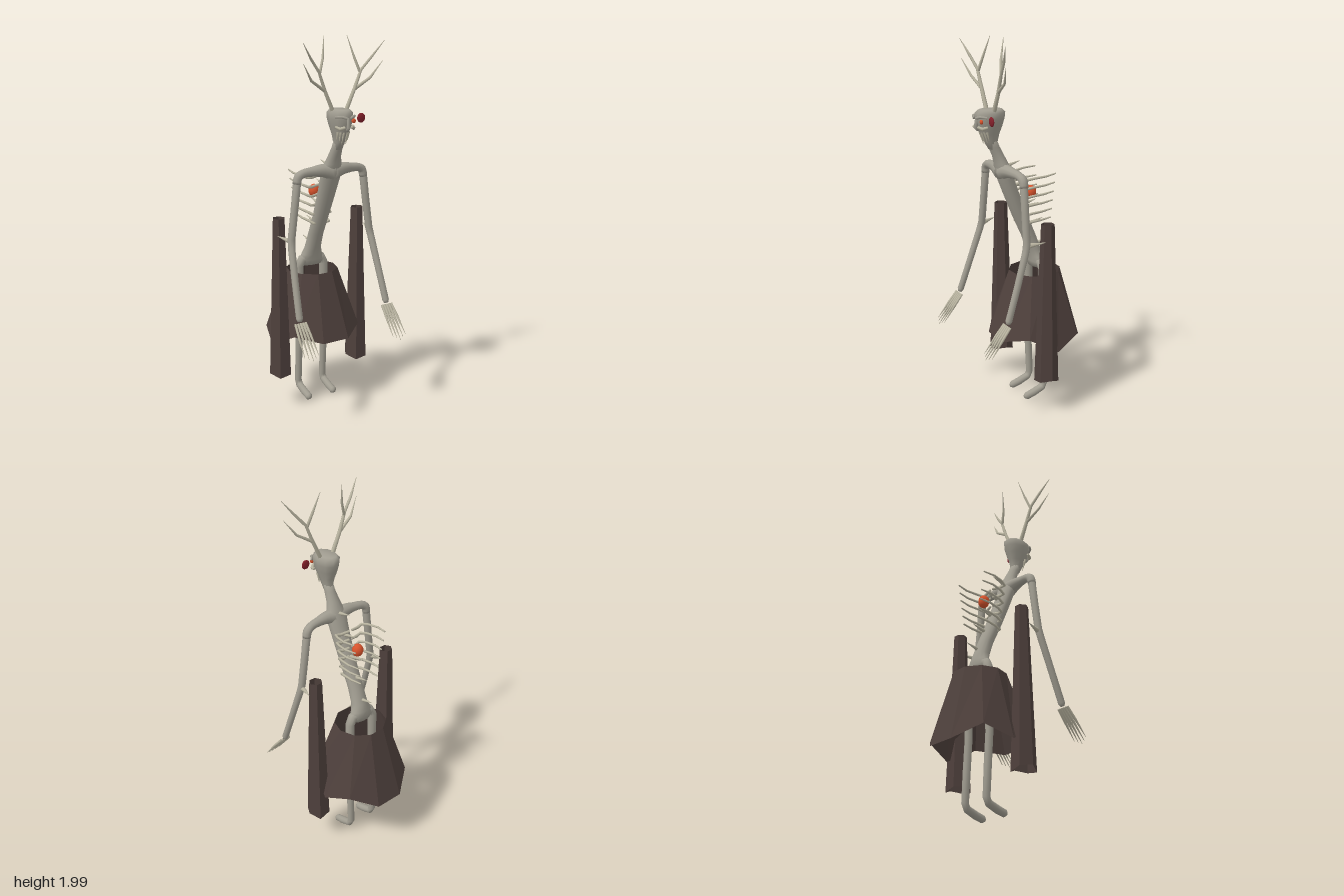
import * as THREE from 'three';

const V = (x, y, z) => new THREE.Vector3(x, y, z);
const mat = (name, color, side = THREE.FrontSide) => {
  const m = new THREE.MeshStandardMaterial({ color, side });
  m.name = name;
  return m;
};

// Joins rings of points (each counter-clockwise about the direction of travel)
function skin(rings, capped = true) {
  const n = rings[0].length, pos = [], idx = [];
  rings.forEach(r => r.forEach(p => pos.push(p.x, p.y, p.z)));
  for (let i = 0; i < rings.length - 1; i++) {
    for (let j = 0; j < n; j++) {
      const k = (j + 1) % n, a = i * n + j, b = i * n + k;
      idx.push(a, b, b + n, a, b + n, a + n);
    }
  }
  if (capped) {
    [rings[0], rings[rings.length - 1]].forEach((r, e) => {
      const c = r.reduce((s, p) => s.add(p), V(0, 0, 0)).divideScalar(n);
      const at = pos.length / 3, base = e ? (rings.length - 1) * n : 0;
      pos.push(c.x, c.y, c.z);
      for (let j = 0; j < n; j++) {
        const a = base + j, b = base + (j + 1) % n;
        if (e) idx.push(at, a, b); else idx.push(at, b, a);
      }
    });
  }
  const g = new THREE.BufferGeometry();
  g.setAttribute('position', new THREE.Float32BufferAttribute(pos, 3));
  g.setIndex(idx);
  g.computeVertexNormals();
  return g;
}

// Round limb through [x, y, z, radius] points; steps > 1 smooths the path
function limb(pts, sides = 8, steps = 1) {
  const P = pts.map(p => V(p[0], p[1], p[2]));
  const curve = new THREE.CatmullRomCurve3(P, false, 'centripetal');
  const count = (pts.length - 1) * steps, path = [], radii = [];
  for (let i = 0; i <= count; i++) {
    const k = Math.min(Math.floor(i / steps), pts.length - 2), f = i / steps - k;
    path.push(steps > 1 ? curve.getPoint(i / count) : P[i]);
    radii.push(THREE.MathUtils.lerp(pts[k][3], pts[k + 1][3], f));
  }
  let u = null;
  const rings = path.map((p, i) => {
    const t = path[Math.min(i + 1, count)].clone().sub(path[Math.max(i - 1, 0)]).normalize();
    if (!u) u = Math.abs(t.x) < 0.8 ? V(1, 0, 0) : V(0, 0, 1);
    u = u.clone().addScaledVector(t, -u.dot(t)).normalize();
    const v = t.clone().cross(u);
    return Array.from({ length: sides }, (_, j) => {
      const a = j / sides * Math.PI * 2;
      return p.clone().addScaledVector(u, Math.cos(a) * radii[i]).addScaledVector(v, Math.sin(a) * radii[i]);
    });
  });
  return skin(rings);
}

// Upright form from level ovals [y, z, half width, half depth]
function ovals(rows, sides = 14) {
  return skin(rows.map(([y, z, rx, rz]) => Array.from({ length: sides }, (_, j) => {
    const a = j / sides * Math.PI * 2;
    return V(Math.cos(a) * rx, y, z - Math.sin(a) * rz);
  })));
}

// Open faceted cloth tube with a ragged lower hem
function cloth(cx, cz, topY, topR, lowR, hem) {
  const ring = (r, y) => hem.map((h, k) => {
    const a = k / hem.length * Math.PI * 2;
    return V(cx + Math.cos(a) * r, y ?? h, cz - Math.sin(a) * r);
  });
  const g = skin([ring(lowR), ring(topR, topY)], false).toNonIndexed();
  g.computeVertexNormals();
  return g;
}

export function createModel() {
  const model = new THREE.Group();
  model.name = 'hornedSpirit';
  const skinMat = mat('ashen skin', 0xa19d91);
  const bone = mat('bone', 0xb9b4a0);
  const clothMat = mat('dark cloth', 0x4e403c, THREE.DoubleSide);
  const ember = mat('ember', 0xd9532c);
  const darkRed = mat('dark red', 0x84202a);
  const add = (name, geo, m) => {
    const mesh = new THREE.Mesh(geo, m);
    mesh.name = name;
    model.add(mesh);
    return mesh;
  };
  const ball = (name, m, p, s) => {
    const b = add(name, new THREE.SphereGeometry(1, 10, 8), m);
    b.position.set(...p);
    b.scale.set(...s);
  };

  // Leaning torso and neck
  add('torso', ovals([
    [0.76, -0.115, 0.06, 0.03], [0.79, -0.115, 0.08, 0.036], [0.82, -0.112, 0.062, 0.038],
    [0.86, -0.1, 0.046, 0.04], [0.94, -0.07, 0.042, 0.04], [1.06, -0.015, 0.044, 0.042],
    [1.18, 0.035, 0.05, 0.042], [1.27, 0.07, 0.056, 0.042], [1.32, 0.085, 0.062, 0.04],
    [1.35, 0.095, 0.048, 0.036], [1.39, 0.11, 0.036, 0.032], [1.44, 0.135, 0.028, 0.03], [1.48, 0.152, 0.027, 0.03],
  ]), skinMat);

  // Wedge-shaped head with a flat crown
  add('head', ovals([
    [1.43, 0.14, 0.022, 0.025], [1.47, 0.152, 0.028, 0.036], [1.51, 0.158, 0.036, 0.052],
    [1.55, 0.16, 0.05, 0.07], [1.59, 0.158, 0.059, 0.08], [1.62, 0.157, 0.06, 0.083], [1.637, 0.157, 0.045, 0.065],
  ], 10), skinMat);

  // Ember heart and one floating eye
  ball('heart', ember, [0, 1.175, -0.085], [0.031, 0.036, 0.03]);
  ball('floatingEye', darkRed, [0.1, 1.59, 0.202], [0.025, 0.025, 0.008]);

  // Spikes along the spine
  [[1.33, 0.06], [1.22, 0.015], [1.11, -0.04], [1.0, -0.08], [0.88, -0.12]].forEach(([y, z]) =>
    add('spineSpike', limb([[0, y, z + 0.01, 0.012], [0, y + 0.022, z - 0.08, 0.001]], 6), bone));

  for (const s of [1, -1]) {
    const side = pts => pts.map(([x, ...r]) => [x * s, ...r]);
    const part = (name, pts, m, sides, steps) => add(name, limb(side(pts), sides, steps), m);

    // Shoulder and arm
    part('shoulder', [[0, 1.305, 0.088, 0.046], [0.06, 1.317, 0.088, 0.034], [0.12, 1.316, 0.084, 0.025],
      [0.17, 1.311, 0.08, 0.022], [0.197, 1.295, 0.077, 0.023], [0.206, 1.26, 0.077, 0.022]], skinMat, 10, 3);
    part('arm', [[0.203, 1.28, 0.077, 0.021], [0.222, 1.13, 0.079, 0.02], [0.243, 0.975, 0.082, 0.02],
      [0.249, 0.93, 0.093, 0.019], [0.262, 0.76, 0.148, 0.018], [0.273, 0.59, 0.205, 0.018], [0.274, 0.575, 0.21, 0.011]], skinMat, 10);
    part('elbowSpike', [[0.244, 0.965, 0.078, 0.015], [0.27, 0.976, -0.012, 0.001]], bone, 6);

    // Long clawed fingers
    [[0.243, 0.235], [0.257, 0.255], [0.272, 0.274], [0.287, 0.296], [0.303, 0.317]].forEach(([a, b], i) => {
      const len = 1 - Math.abs(i - 2) * 0.06;
      part('finger', [[a, 0.568, 0.214, 0.0075], [(a + b) / 2, 0.568 - 0.07 * len, 0.214 + 0.057 * len, 0.007],
        [b, 0.568 - 0.163 * len, 0.214 + 0.13 * len, 0.001]], bone, 6);
    });

    // Leg and forward foot
    part('leg', [[0.02, 0.795, -0.115, 0.03], [0.06, 0.79, -0.115, 0.027], [0.079, 0.755, -0.117, 0.025],
      [0.08, 0.6, -0.118, 0.024], [0.08, 0.42, -0.112, 0.02], [0.08, 0.24, -0.122, 0.02], [0.08, 0.085, -0.129, 0.019],
      [0.08, 0.058, -0.115, 0.02], [0.08, 0.037, -0.06, 0.021], [0.08, 0.025, -0.015, 0.02], [0.08, 0.024, -0.003, 0.01]], skinMat, 10);

    // Open ribs sweeping backwards
    for (let i = 0; i < 6; i++) {
      const y = 1.285 - i * 0.05, w = 1 - i * 0.09;
      part('rib', [[0.01, y - 0.018, -0.03, 0.007], [0.06 * w, y - 0.024, -0.02, 0.008], [0.088 * w, y - 0.02, -0.014, 0.008],
        [0.104 * w, y - 0.012, -0.05, 0.007], [0.115 * w, y - 0.006, -0.11, 0.006], [0.104 * w, y, -0.175, 0.004]], bone, 6);
    }

    // Branching antler
    part('antlerBeam', [[0.032, 1.61, 0.155, 0.012], [0.088, 1.73, 0.156, 0.01], [0.125, 1.825, 0.16, 0.008],
      [0.18, 1.89, 0.175, 0.007], [0.24, 1.97, 0.2, 0.001]], bone, 6);
    part('antlerOuterTine', [[0.088, 1.73, 0.156, 0.009], [0.175, 1.785, 0.17, 0.007], [0.235, 1.87, 0.195, 0.001]], bone, 6);
    part('antlerInnerTine', [[0.12, 1.815, 0.158, 0.008], [0.095, 1.885, 0.145, 0.007], [0.068, 1.997, 0.115, 0.001]], bone, 6);

    // Face: glowing eye, brow, cheek, nose ridge and fangs
    ball('eye', ember, [0.038, 1.582, 0.226], [0.012, 0.012, 0.008]);
    part('brow', [[0.012, 1.598, 0.243, 0.007], [0.035, 1.606, 0.232, 0.008], [0.058, 1.603, 0.205, 0.006]], skinMat, 6);
    part('cheek', [[0.02, 1.553, 0.238, 0.008], [0.04, 1.545, 0.222, 0.01], [0.052, 1.553, 0.197, 0.007]], bone, 6);
    [0.01, 0.022, 0.033].forEach((x, i) =>
      part('fang', [[x, 1.525, 0.212 - i * 0.01, 0.007], [x, 1.46 + i * 0.01, 0.19 - i * 0.005, 0.001]], bone, 5));

    // Hanging empty sleeve
    add('sleeve', cloth(s * 0.247, -0.04, 1.065, 0.035, 0.065, [0.21, 0.185, 0.205, 0.21, 0.19, 0.2]), clothMat);
  }
  add('nose', limb([[0, 1.6, 0.232, 0.008], [0, 1.55, 0.238, 0.011], [0, 1.535, 0.225, 0.008]], 6), skinMat);

  // Ragged skirt
  add('skirt', cloth(0, -0.11, 0.74, 0.141, 0.256,
    [0.34, 0.395, 0.33, 0.33, 0.395, 0.34, 0.42, 0.385, 0.385, 0.42]), clothMat);

  return model;
}
